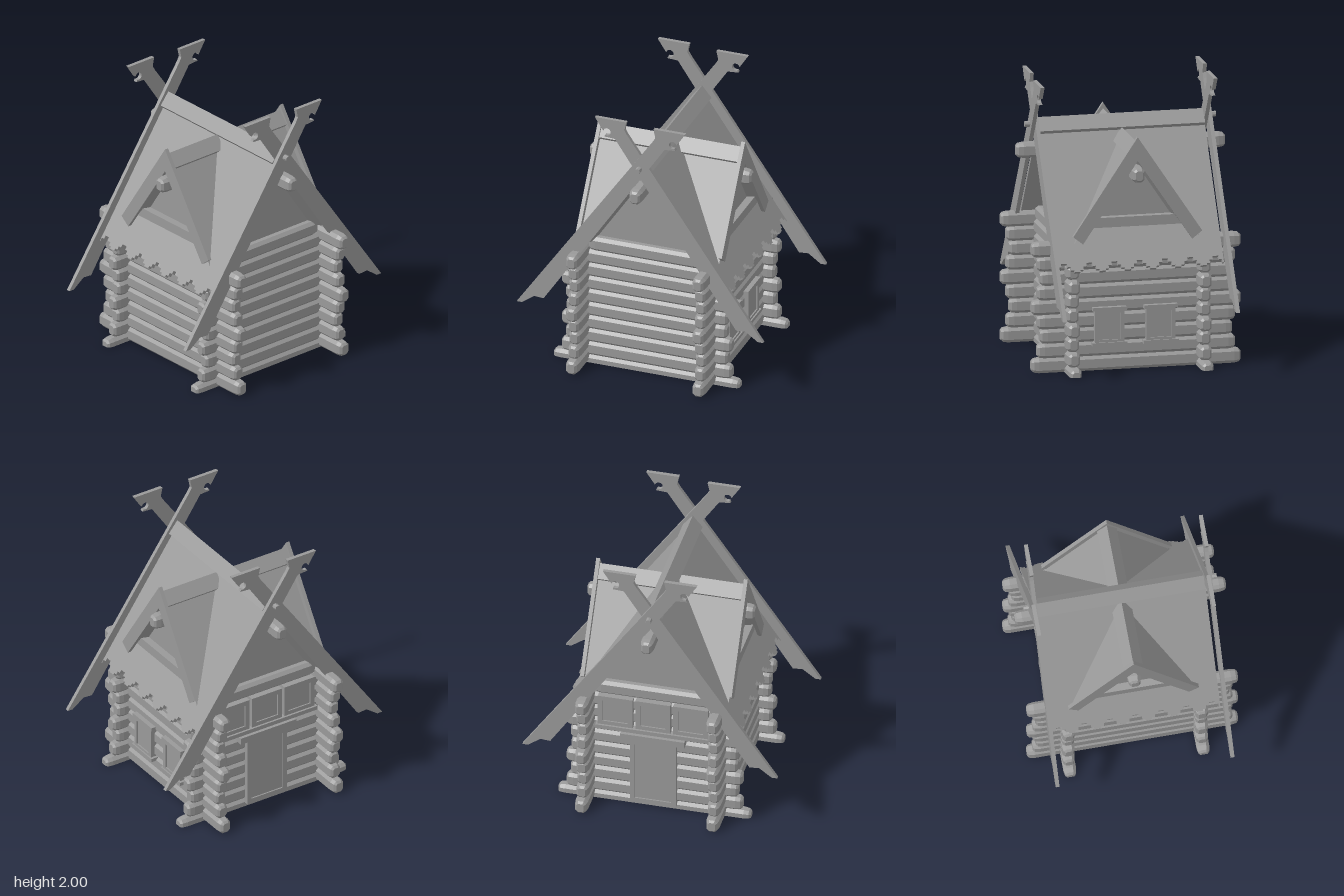
import * as THREE from 'three';

export function createModel() {
  const model = new THREE.Group();
  model.name = 'logCabin';
  const mat = new THREE.MeshStandardMaterial({ color: 0x999999, flatShading: true, side: THREE.DoubleSide });

  const add = (parent, name, geo) => {
    const mesh = new THREE.Mesh(geo, mat);
    mesh.name = name;
    parent.add(mesh);
    return mesh;
  };
  const group = (parent, name) => {
    const g = new THREE.Group();
    g.name = name;
    parent.add(g);
    return g;
  };
  const shapeOf = pts => new THREE.Shape(pts.map(p => new THREE.Vector2(p[0], p[1])));
  const extrude = (shape, depth) => new THREE.ExtrudeGeometry(shape, { depth, bevelEnabled: false, curveSegments: 8 });
  // extrude an XY outline from z0 to z1
  const slabZ = (shape, z0, z1) => extrude(shape, z1 - z0).translate(0, 0, z0);
  // extrude a ZY outline from x0 to x1
  const slabX = (shape, x0, x1) => extrude(shape, x1 - x0).rotateY(-Math.PI / 2).translate(x1, 0, 0);

  // hewn log: tall octagonal section with rounded ends, never below the ground
  const section = shapeOf([[0.045, -0.031], [0.045, 0.031], [0.023, 0.053], [-0.023, 0.053],
    [-0.045, 0.031], [-0.045, -0.031], [-0.023, -0.053], [0.023, -0.053]]);
  const log = (parent, name, axis, half, x, y, z) => {
    const geo = new THREE.ExtrudeGeometry(section, {
      depth: 2 * half - 0.1, bevelThickness: 0.05, bevelSize: 0.02, bevelOffset: -0.02, bevelSegments: 2,
    }).translate(0, 0, 0.05 - half);
    if (axis === 'x') geo.rotateY(Math.PI / 2);
    geo.translate(x, y, z);
    const pos = geo.attributes.position;
    for (let i = 0; i < pos.count; i++) pos.setY(i, Math.max(0, pos.getY(i)));
    add(parent, name, geo);
  };

  // log walls
  const walls = group(model, 'logWalls');
  const alongX = [0.745, 0.705, 0.685, 0.705, 0.745, 0.705, 0.685, 0.705, 0.745];
  const alongZ = [0.69, 0.63, 0.6, 0.63, 0.595, 0.6, 0.63, 0.6, 0.51, 0.43];
  for (const side of [-1, 1]) {
    alongX.forEach((h, k) => log(walls, 'longWallLog', 'x', h, 0, 0.053 + 0.1033 * k, side * 0.47));
    alongZ.forEach((h, k) => log(walls, 'gableWallLog', 'z', h, side * 0.47, 0.003 + 0.1032 * k, 0));
  }
  log(model, 'ridgeLog', 'x', 0.745, 0, 1.482, 0);
  log(model, 'dormerRidgeLog', 'z', 0.6, 0, 1.395, 0);

  // main roof panel with a stepped lace edge along the eave
  const slope = 1.45, tilt = -Math.atan(1 / slope), halfRoof = 0.595, pitch = 0.18;
  const lace = [[0.12, 1.06], [0.12, 1.085], [0.25, 1.085], [0.25, 1.11], [0.38, 1.11], [0.38, 1.125],
    [0.62, 1.125], [0.62, 1.11], [0.75, 1.11], [0.75, 1.085], [0.88, 1.085], [0.88, 1.06]];
  const outline = [[halfRoof, 0], [-halfRoof, 0], [-halfRoof, -1.11]];
  for (let i = -4; i < 4; i++) {
    for (const [u, s] of lace) {
      if (Math.abs(i + u) * pitch < halfRoof) outline.push([(i + u) * pitch, -s]);
    }
  }
  outline.push([halfRoof, -1.11]);
  const panelGeo = slabZ(shapeOf(outline), -0.03, 0).rotateX(tilt).translate(0, 1.67, 0);

  // carved crossing board, low end towards +z
  const board = shapeOf([[-0.1, 1.9], [0.91, 0.455], [0.87, 0.455], [0.78, 0.52], [0.71, 0.515],
    [-0.19, 1.855], [-0.27, 1.86]]);
  board.absarc(-0.25, 1.9, 0.028, Math.PI * 1.36, Math.PI * 2.95, false);
  board.lineTo(-0.34, 2);
  board.lineTo(-0.106, 2);
  board.lineTo(-0.12, 1.935);

  // ridge cap section, undercut along its edges
  const cap = top => shapeOf([[0, top], [-0.07, top - 0.087], [-0.05, top - 0.11], [0, top - 0.045],
    [0.05, top - 0.11], [0.07, top - 0.087]]);

  // sloping underside between a gable wall (z0, apex y0) and its boards (z1, apex y1)
  const soffit = (y0, y1, half, rise, z0, z1) => {
    const pos = [];
    for (const s of [-1, 1]) {
      const a = [0, y0, z0], b = [0, y1, z1];
      const c = [s * half, y1 - half * rise, z1], d = [s * half, y0 - half * rise, z0];
      pos.push(...(s > 0 ? [a, c, b, a, d, c] : [a, b, c, a, c, d]).flat());
    }
    const geo = new THREE.BufferGeometry();
    geo.setAttribute('position', new THREE.Float32BufferAttribute(pos, 3));
    geo.computeVertexNormals();
    return geo;
  };

  // dormer pieces
  const dormerBoards = shapeOf([[0, 1.66], [-0.46, 0.97], [-0.39, 0.915], [0, 1.49], [0.39, 0.915], [0.46, 0.97]]);
  const dormerPanel = side => {
    const geo = new THREE.BufferGeometry();
    const a = [0, 1.59, 0.055], b = [0, 1.59, 0.52], c = [side * 0.45, 0.915, 0.52];
    geo.setAttribute('position', new THREE.Float32BufferAttribute(
      side > 0 ? [...a, ...b, ...c] : [...a, ...c, ...b], 3));
    geo.computeVertexNormals();
    return geo;
  };

  // each half of the roof is the other turned half way round
  for (const turn of [0, Math.PI]) {
    const half = group(model, turn ? 'backRoof' : 'frontRoof');
    half.rotation.y = turn;
    add(half, 'roofPanel', panelGeo);
    add(half, 'outerBargeBoard', slabX(board, 0.617, 0.645));
    add(half, 'innerBargeBoard', slabX(board, -0.617, -0.59));
    const peg = add(half, 'bargePeg', new THREE.CylinderGeometry(0.02, 0.025, 0.1, 8).rotateZ(-Math.PI / 2));
    peg.position.set(0.632, 1.665, 0);
    add(half, 'gableWall', slabX(shapeOf([[-0.43, 0.975], [0.43, 0.975], [0, 1.6]]), 0.43, 0.46));
    add(half, 'gableSoffit', soffit(1.53, 1.575, 0.4, 1.48, 0.45, 0.592).rotateY(Math.PI / 2));

    const dormer = group(half, 'dormer');
    for (const side of [-1, 1]) add(dormer, 'dormerRoofPanel', dormerPanel(side));
    add(dormer, 'dormerRidgeCap', slabZ(cap(1.62), 0.06, 0.52));
    add(dormer, 'dormerBoards', slabZ(dormerBoards, 0.515, 0.543));
    add(dormer, 'dormerSoffit', soffit(1.46, 1.495, 0.29, 1.5, 0.45, 0.517));
    add(dormer, 'dormerWall', slabZ(shapeOf([[-0.36, 1.02], [0.36, 1.02], [0, 1.56]]), 0.43, 0.46));
    const beam = add(dormer, 'dormerBeam', new THREE.BoxGeometry(0.63, 0.07, 0.06));
    beam.position.set(0, 1.055, 0.483);
  }
  add(model, 'ridgeCap', slabX(cap(1.71), -0.592, 0.592));

  // framed panel facing +z, centred on its own origin
  const framed = (parent, name, w, h, border) => {
    const g = group(parent, name);
    const rect = (a, b) => [[-a / 2, -b / 2], [a / 2, -b / 2], [a / 2, b / 2], [-a / 2, b / 2]];
    const frame = shapeOf(rect(w, h));
    frame.holes.push(new THREE.Path(rect(w - 2 * border, h - 2 * border).reverse().map(p => new THREE.Vector2(...p))));
    add(g, 'frame', slabZ(frame, -0.03, 0.025));
    add(g, 'pane', new THREE.BoxGeometry(w - border, h - border, 0.04)).position.z = -0.005;
    return g;
  };
  const trim = (parent, name, w, h, d, y) => {
    add(parent, name, new THREE.BoxGeometry(w, h, d)).position.y = y;
  };

  // two windows in the back wall
  for (const x of [0.2, -0.165]) {
    const win = framed(model, 'backWindow', 0.21, 0.25, 0.03);
    win.position.set(x, 0.32, -0.52);
    win.rotation.y = Math.PI;
    trim(win, 'sill', 0.25, 0.025, 0.07, -0.125);
    trim(win, 'head', 0.24, 0.025, 0.06, 0.125);
  }

  // door and a row of windows in the right wall
  const entrance = group(model, 'entrance');
  entrance.position.x = -0.52;
  entrance.rotation.y = -Math.PI / 2;
  framed(entrance, 'door', 0.33, 0.52, 0.035).position.y = 0.29;
  trim(entrance, 'lintel', 0.46, 0.05, 0.09, 0.58);
  trim(entrance, 'windowSill', 0.82, 0.03, 0.08, 0.635);
  for (const x of [-0.27, 0, 0.27]) framed(entrance, 'upperWindow', 0.25, 0.24, 0.035).position.set(x, 0.765, 0);

  return model;
}
